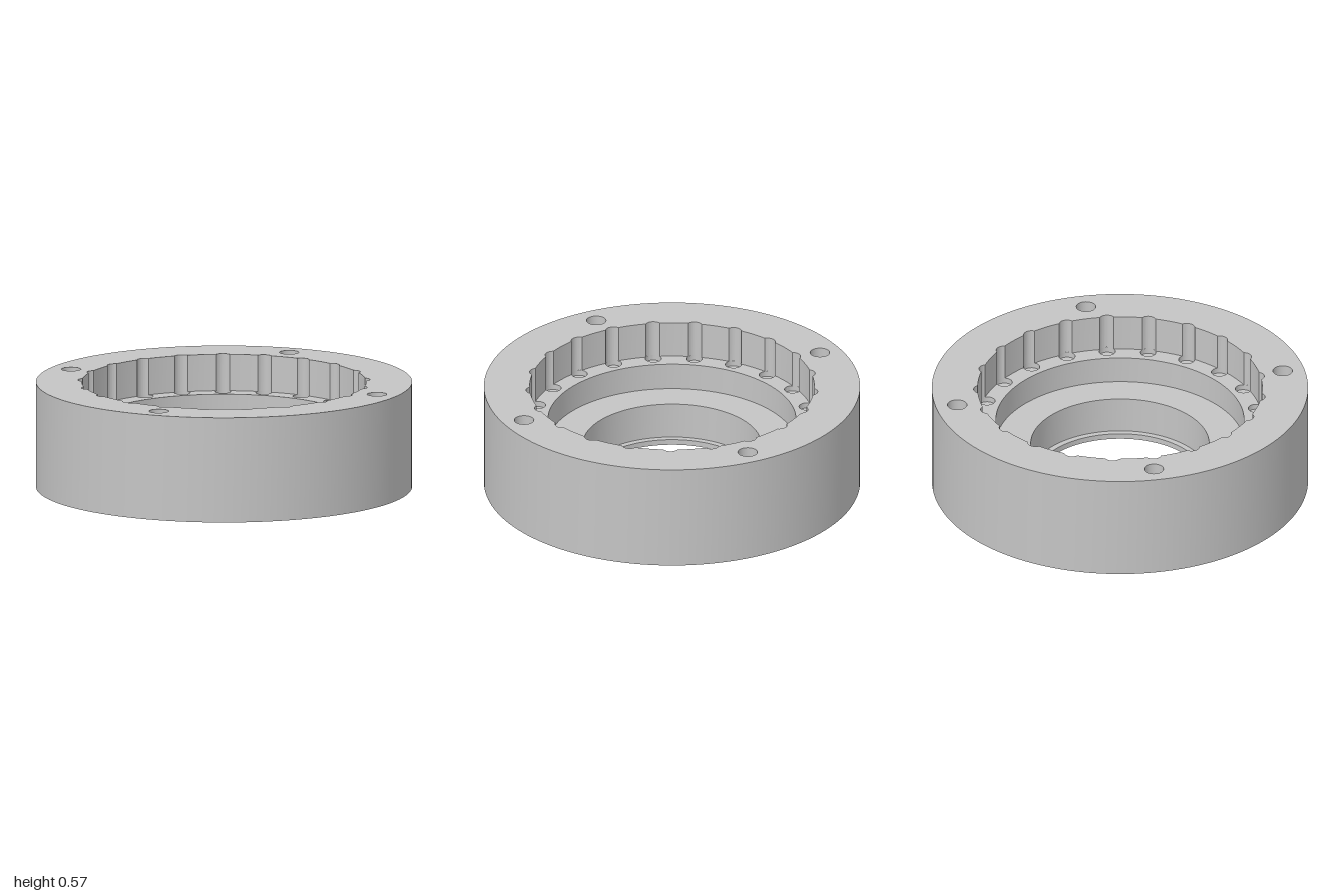
import * as THREE from 'three';
import { toCreasedNormals } from 'three/addons/utils/BufferGeometryUtils.js';

// Heights of the steps
const TOP = 0.567, LEDGE = 0.37, SEAT = 0.225, LIP = 0.03, SOCKET = 0.34;
// Radii of the body and its stepped bore
const OUTER = 1, BORE = 0.757, RECESS = 0.66, HUB = 0.475, OPENING = 0.443;
// Pin grooves around the bore, and bolt holes
const PINS = 21, PIN_RING = 0.735, PIN_R = 0.043;
const BOLT = 0.625, BOLT_R = 0.052;

const metal = new THREE.MeshStandardMaterial({ color: 0xc4c4c4 });
metal.name = 'grey metal';

// Counter-clockwise ring of points
function circle(r, cx = 0, cy = 0, n = 144) {
  return Array.from({ length: n }, (_, i) => {
    const a = (i / n) * Math.PI * 2;
    return new THREE.Vector2(cx + r * Math.cos(a), cy + r * Math.sin(a));
  });
}

// Bore outline: grooves bulge outward, or the sockets bite into the ledge
function boreOutline(bite) {
  const phi = Math.acos((BORE ** 2 - PIN_RING ** 2 - PIN_R ** 2) / (2 * PIN_RING * PIN_R));
  const half = Math.atan2(PIN_R * Math.sin(phi), PIN_RING + PIN_R * Math.cos(phi));
  const sweep = bite ? 2 * phi - 2 * Math.PI : 2 * phi;
  const step = (Math.PI * 2) / PINS, pts = [];
  for (let i = 0; i < PINS; i++) {
    const a = i * step;
    for (let j = 0; j <= 16; j++) {
      const t = a - phi + (sweep * j) / 16;
      pts.push(new THREE.Vector2(
        PIN_RING * Math.cos(a) + PIN_R * Math.cos(t),
        PIN_RING * Math.sin(a) + PIN_R * Math.sin(t)));
    }
    for (let j = 1; j < 6; j++) {
      const t = a + half + ((step - 2 * half) * j) / 6;
      pts.push(new THREE.Vector2(BORE * Math.cos(t), BORE * Math.sin(t)));
    }
  }
  return pts;
}

// Vertical wall along a closed outline, facing outward or into the hole
function wall(pts, y0, y1, inward) {
  const pos = [];
  pts.forEach((p, i) => {
    let a = p, b = pts[(i + 1) % pts.length];
    if (inward) [a, b] = [b, a];
    pos.push(a.x, y0, -a.y, b.x, y0, -b.y, b.x, y1, -b.y);
    pos.push(a.x, y0, -a.y, b.x, y1, -b.y, a.x, y1, -a.y);
  });
  const g = new THREE.BufferGeometry();
  g.setAttribute('position', new THREE.Float32BufferAttribute(pos, 3));
  g.computeVertexNormals();
  return toCreasedNormals(g, Math.PI / 6);
}

// Horizontal face with holes, facing up or down
function face(outline, holes, y, down) {
  const shape = new THREE.Shape(outline);
  holes.forEach((h) => shape.holes.push(new THREE.Path(h)));
  return new THREE.ShapeGeometry(shape).rotateX(down ? Math.PI / 2 : -Math.PI / 2).translate(0, y, 0);
}

export function createModel() {
  const group = new THREE.Group();
  const add = (name, geometry) => {
    const mesh = new THREE.Mesh(geometry, metal);
    mesh.name = name;
    group.add(mesh);
  };

  const bolts = [];
  for (const x of [-BOLT, BOLT]) for (const z of [-BOLT, BOLT]) bolts.push(circle(BOLT_R, x, z, 32));

  // Outer body
  add('outerWall', wall(circle(OUTER), 0, TOP, false));
  add('topRim', face(circle(OUTER), [boreOutline(false), ...bolts], TOP, false));
  add('underside', face(circle(OUTER), [circle(OPENING), ...bolts], 0, true));
  bolts.forEach((b) => add('boltHole', wall(b, 0, TOP, true)));

  // Grooved bore and the ledge below it
  add('groovedBore', wall(boreOutline(false), LEDGE, TOP, true));
  add('ledge', face(boreOutline(true), [circle(RECESS)], LEDGE, false));

  // Shallow pin sockets at the foot of each groove
  for (let i = 0; i < PINS; i++) {
    const a = (i / PINS) * Math.PI * 2;
    const ring = circle(PIN_R, PIN_RING * Math.cos(a), PIN_RING * Math.sin(a), 24);
    add('pinSocketWall', wall(ring, SOCKET, LEDGE, true));
    add('pinSocketFloor', face(ring, [], SOCKET, false));
  }

  // Recess, hub bore and bottom lip
  add('recessWall', wall(circle(RECESS), SEAT, LEDGE, true));
  add('seat', face(circle(RECESS), [circle(HUB)], SEAT, false));
  add('hubBore', wall(circle(HUB), LIP, SEAT, true));
  add('lipTop', face(circle(HUB), [circle(OPENING)], LIP, false));
  add('lipWall', wall(circle(OPENING), 0, LIP, true));

  return group;
}
